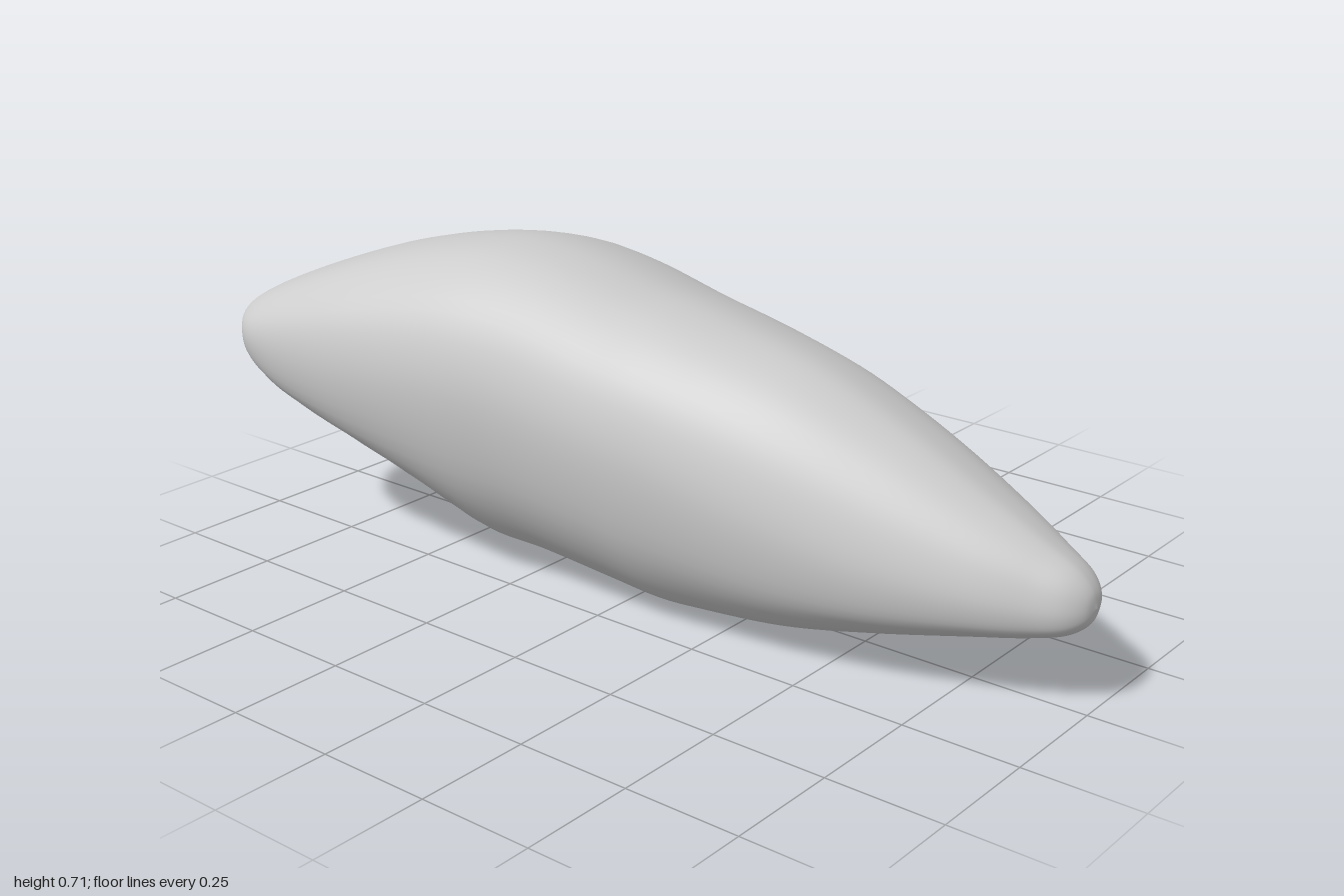
import * as THREE from 'three';

// Unit cross-sections (u across, v up), counter-clockwise from the +x side
const SECTIONS = {
  tip: [[1, .6], [.88, .78], [.6, .9], [.2, .98], [-.2, 1], [-.6, .9], [-.87, .7], [-1, .42],
    [-.92, .2], [-.65, .07], [-.3, .01], [0, 0], [.35, .06], [.65, .2], [.9, .4]],
  middle: [[1, .58], [.93, .72], [.68, .86], [.25, .96], [-.2, 1], [-.62, .96], [-.9, .82], [-1, .62],
    [-.9, .32], [-.62, .1], [-.3, .02], [0, 0], [.32, .05], [.62, .18], [.88, .36]],
  back: [[1, .36], [.94, .58], [.62, .8], [.12, .95], [-.4, 1], [-.8, .92], [-.97, .74], [-1, .5],
    [-.92, .27], [-.62, .18], [-.3, .18], [0, .16], [.35, .08], [.7, .01], [.94, .13]],
};

// z, xMin, xMax, yMin, yMax along the length
const STATIONS = [
  [.992, -.025, .04, .187, .252],
  [.965, -.06, .07, .162, .285],
  [.9, -.10, .10, .142, .325],
  [.8, -.15, .14, .122, .38],
  [.6, -.22, .20, .075, .485],
  [.4, -.27, .25, .03, .57],
  [.2, -.305, .295, .006, .62],
  [.1, -.32, .313, 0, .64],
  [0, -.33, .33, .008, .656],
  [-.2, -.345, .35, .025, .70],
  [-.35, -.37, .375, .035, .715],
  [-.5, -.395, .40, .095, .70],
  [-.65, -.415, .418, .175, .665],
  [-.8, -.42, .42, .265, .612],
  [-.9, -.41, .41, .335, .57],
  [-.96, -.39, .39, .385, .537],
  [-.99, -.36, .36, .423, .513],
  [-1, -.33, .33, .45, .492],
  [-1.001, -.31, .31, .471, .473],
];

const AROUND = 72, ALONG = 120;
const smooth = THREE.MathUtils.smoothstep;

// Smooth closed outline, stretched to fill u -1..1 and v 0..1
function outline(points) {
  const curve = new THREE.CatmullRomCurve3(points.map(([u, v]) => new THREE.Vector3(u, v, 0)), true);
  const pts = Array.from({ length: AROUND }, (_, k) => curve.getPoint(k / AROUND));
  const box = new THREE.Box3().setFromPoints(pts);
  const size = box.getSize(new THREE.Vector3());
  return pts.map(p => new THREE.Vector3((p.x - box.min.x) / size.x * 2 - 1, (p.y - box.min.y) / size.y, 0));
}

function buildBody() {
  const tip = outline(SECTIONS.tip), middle = outline(SECTIONS.middle), back = outline(SECTIONS.back);

  // One lengthwise curve for each point of the outline
  const rails = tip.map((_, k) => {
    const pts = STATIONS.map(([z, x0, x1, y0, y1]) => {
      const p = tip[k].clone()
        .lerp(middle[k], smooth(-z, -.8, 0))
        .lerp(back[k], smooth(-z, .25, .9));
      const x = x0 + (p.x + 1) / 2 * (x1 - x0);
      const y = y0 + p.y * (y1 - y0);
      // The blunt end slants forward and dips on the +x side, and its corners are rounded
      const end = smooth(-z, .4, 1);
      const slant = .13 * Math.pow(Math.max(0, (x + .12) / .5), 1.5) * end;
      const corner = .05 * Math.pow(Math.abs(p.x), 8) * smooth(-z, .8, 1);
      const dip = .5 * Math.pow(Math.max(0, x + .1), 2) * smooth(-z, .7, 1);
      return new THREE.Vector3(x, y - dip, z + slant + corner);
    });
    pts.unshift(new THREE.Vector3(.008, .218, 1));
    return new THREE.CatmullRomCurve3(pts);
  });

  const positions = [], index = [];
  for (let i = 0; i <= ALONG; i++) {
    for (const rail of rails) positions.push(...rail.getPoint(i / ALONG).toArray());
  }
  for (let i = 0; i < ALONG; i++) {
    for (let k = 0; k < AROUND; k++) {
      const n = (k + 1) % AROUND;
      const a = i * AROUND + k, b = i * AROUND + n, c = a + AROUND, d = b + AROUND;
      index.push(a, c, d);
      if (i > 0) index.push(a, d, b);
    }
  }
  const geometry = new THREE.BufferGeometry();
  geometry.setAttribute('position', new THREE.Float32BufferAttribute(positions, 3));
  geometry.setIndex(index);
  geometry.computeVertexNormals();
  return geometry;
}

export function createModel() {
  const group = new THREE.Group();
  group.name = 'taperedStone';
  const grey = new THREE.MeshStandardMaterial({ color: 0xcccccc });
  grey.name = 'stone grey';
  const body = new THREE.Mesh(buildBody(), grey);
  body.name = 'stoneBody';
  group.add(body);
  return group;
}
